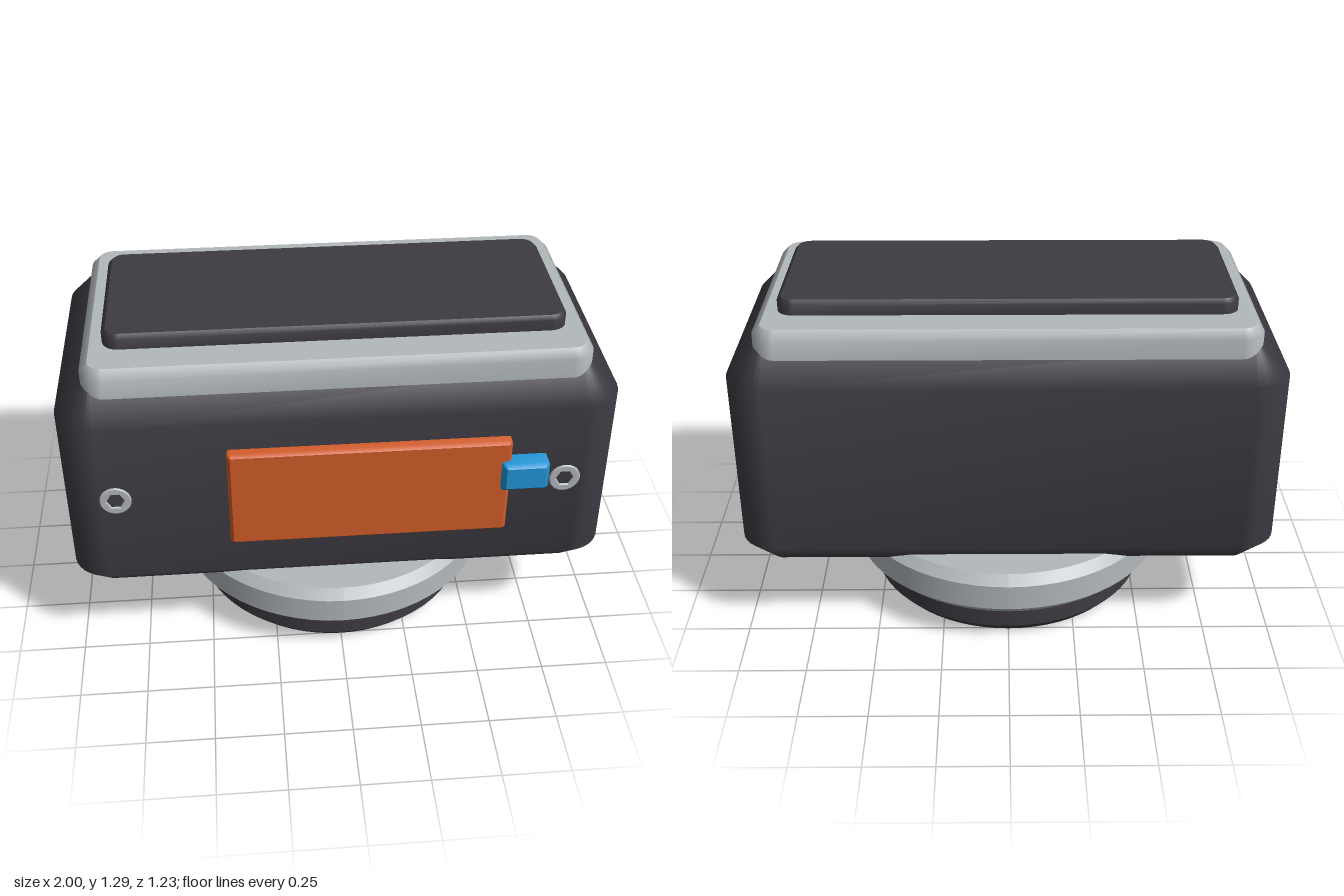
import * as THREE from 'three';

const paint = (name, color) => {
  const m = new THREE.MeshStandardMaterial({ color });
  m.name = name;
  return m;
};

// Corner-rounded rectangle, counter-clockwise seen from above
function outline([hw, hd, r, y], seg) {
  const pts = [];
  [[1, 1], [-1, 1], [-1, -1], [1, -1]].forEach(([sx, sd], q) => {
    for (let i = 0; i <= seg; i++) {
      const a = (q + i / seg) * Math.PI / 2;
      pts.push([sx * (hw - r) + r * Math.cos(a), y, -(sd * (hd - r) + r * Math.sin(a))]);
    }
  });
  return pts;
}

// Loft through sections [halfWidth, halfDepth, cornerRadius, y]; hard keeps the bands creased
function loft(sections, { seg = 8, hard = false } = {}) {
  const pos = [], index = [];
  const rings = sections.map((s) => outline(s, seg));
  const n = rings[0].length;
  const addRing = (ring) => {
    const start = pos.length / 3;
    ring.forEach((p) => pos.push(...p));
    return start;
  };
  let low = addRing(rings[0]);
  for (let k = 1; k < rings.length; k++) {
    const up = addRing(rings[k]);
    for (let i = 0; i < n; i++) {
      const j = (i + 1) % n;
      index.push(low + i, low + j, up + j, low + i, up + j, up + i);
    }
    low = hard && k < rings.length - 1 ? addRing(rings[k]) : up;
  }
  // Flat end caps
  [[rings[0], true], [rings[rings.length - 1], false]].forEach(([ring, flip]) => {
    const s = addRing(ring), c = pos.length / 3;
    pos.push(0, ring[0][1], 0);
    for (let i = 0; i < n; i++) {
      const j = (i + 1) % n;
      index.push(c, s + (flip ? j : i), s + (flip ? i : j));
    }
  });
  const g = new THREE.BufferGeometry();
  g.setAttribute('position', new THREE.Float32BufferAttribute(pos, 3));
  g.setIndex(index);
  g.computeVertexNormals();
  return g;
}

const disc = (r, y) => [r, r, r, y];

export function createModel() {
  const group = new THREE.Group();
  const dark = paint('charcoal', 0x3d3b42);
  const silver = paint('silver', 0xb2b8bb);
  const orange = paint('orange', 0xd15c2a);
  const blue = paint('blue', 0x2196d6);

  const add = (name, geometry, material, x = 0, y = 0, z = 0) => {
    const mesh = new THREE.Mesh(geometry, material);
    mesh.name = name;
    mesh.position.set(x, y, z);
    group.add(mesh);
    return mesh;
  };

  // Round foot and collar under the body
  add('foot', loft([disc(0.505, 0), disc(0.54, 0.04), disc(0.54, 0.15)], { seg: 16, hard: true }), dark);
  add('collar', loft([disc(0.575, 0.135), disc(0.615, 0.175), disc(0.615, 0.275), disc(0.58, 0.31)],
    { seg: 16, hard: true }), silver);

  // Chamfered main body
  add('body', loft([
    [0.885, 0.415, 0.02, 0.275], [1, 0.53, 0.135, 0.39],
    [1, 0.53, 0.135, 1.055], [0.885, 0.415, 0.02, 1.17],
  ]), dark);

  // Stacked top plates
  add('topPlate', loft([
    [0.9, 0.455, 0.08, 1.1], [0.9, 0.455, 0.08, 1.205], [0.87, 0.425, 0.05, 1.235],
  ]), silver);
  add('topPad', loft([
    [0.825, 0.305, 0.06, 1.225], [0.825, 0.305, 0.06, 1.275], [0.81, 0.29, 0.045, 1.29],
  ]), dark);

  // Front panel and latch, lofted forward along z
  const plate = (hw, hh, depth, c) => loft([
    [hw, hh, 0.012, -0.02], [hw, hh, 0.012, depth - c], [hw - c, hh - c, 0.004, depth],
  ], { seg: 3 }).rotateX(Math.PI / 2);
  add('frontPanel', plate(0.505, 0.2, 0.04, 0.012), orange, 0.095, 0.745, 0.53);
  add('latch', plate(0.085, 0.058, 0.07, 0.015), blue, 0.65, 0.803, 0.53);

  // Screw heads with hexagonal sockets
  const head = new THREE.Shape().absarc(0, 0, 0.053, 0, Math.PI * 2);
  const socket = new THREE.Path();
  for (let i = 0; i < 6; i++) {
    const a = -i * Math.PI / 3;
    socket[i ? 'lineTo' : 'moveTo'](0.036 * Math.cos(a), 0.036 * Math.sin(a));
  }
  socket.closePath();
  head.holes.push(socket);
  const screw = new THREE.ExtrudeGeometry(head, {
    depth: 0.006, bevelThickness: 0.004, bevelSize: 0.004, bevelSegments: 1, curveSegments: 24,
  });
  for (const side of [-1, 1]) {
    add(side < 0 ? 'rightScrew' : 'leftScrew', screw, silver, side * 0.81, 0.745, 0.526);
  }

  return group;
}
